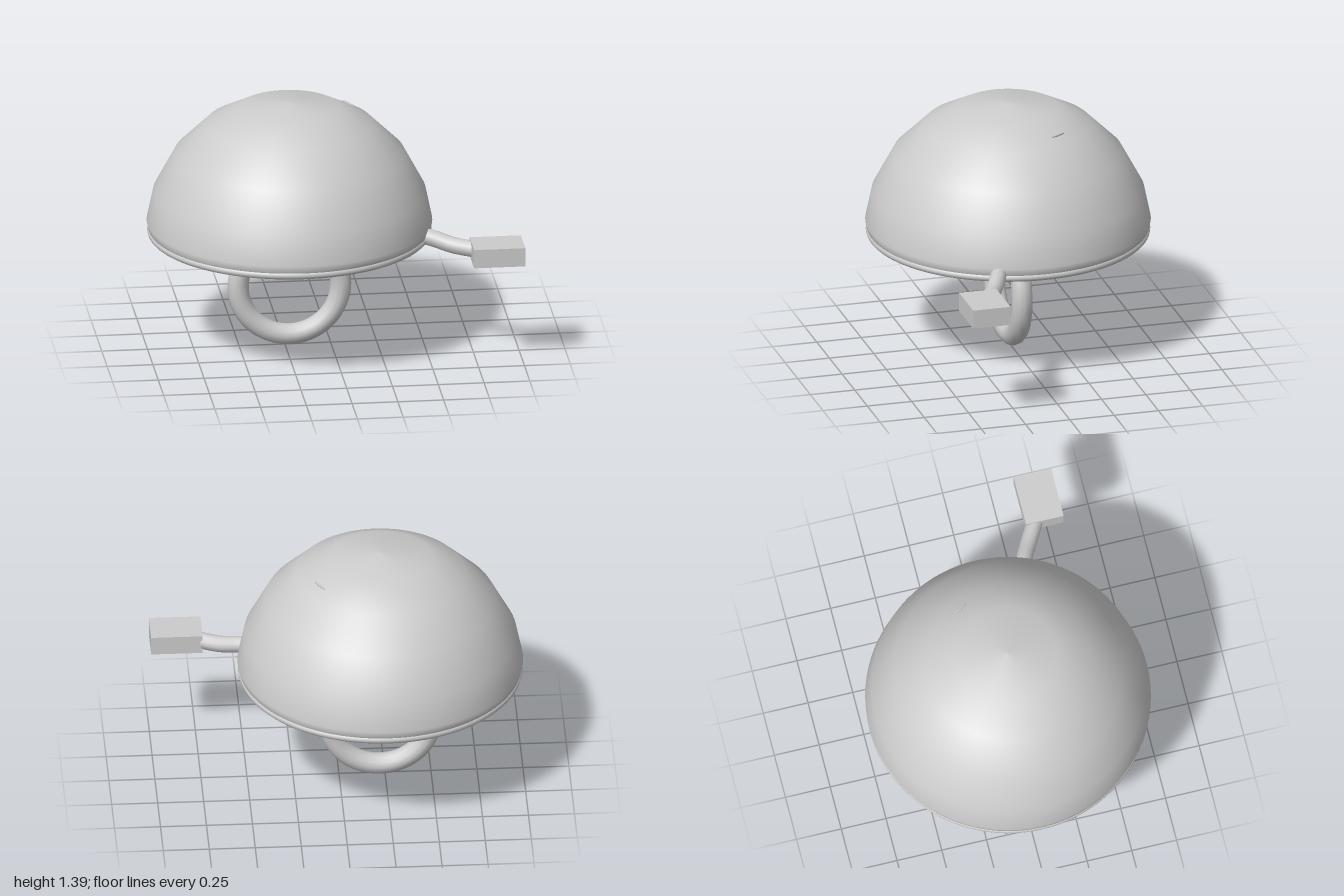
import * as THREE from 'three';

const CX = -0.225; // axis of the bell

export function createModel() {
  const model = new THREE.Group();
  model.name = 'bell';
  const metal = new THREE.MeshStandardMaterial({ color: 0xcccccc });
  metal.name = 'grey metal';
  const shell = new THREE.MeshStandardMaterial({ color: 0xcccccc, side: THREE.DoubleSide });
  shell.name = 'grey shell';

  const add = (name, geometry, material, x, y, z) => {
    const mesh = new THREE.Mesh(geometry, material);
    mesh.name = name;
    mesh.position.set(x, y, z);
    model.add(mesh);
    return mesh;
  };

  // Hollow dome with a coarse profile, smooth shaded
  const profile = [
    [0.755, 0.665], [0.767, 0.68], [0.775, 0.72], [0.74, 0.89],
    [0.625, 1.105], [0.457, 1.27], [0.272, 1.367], [0, 1.396],
  ].map(([r, y]) => new THREE.Vector2(r, y));
  add('dome', new THREE.LatheGeometry(profile, 96), shell, CX, 0, 0);

  // Rolled rim
  const rim = add('rim', new THREE.TorusGeometry(0.749, 0.023, 12, 96), metal, CX, 0.663, 0);
  rim.rotation.x = Math.PI / 2;

  // Mounting ring under the dome
  add('mountingRing', new THREE.TorusGeometry(0.28, 0.058, 12, 64), metal, CX, 0.34, 0);

  // Bent lever arm passing through the rim, with closed ends
  const path = new THREE.CatmullRomCurve3([
    new THREE.Vector3(0.43, 0.69, 0.235),
    new THREE.Vector3(0.52, 0.677, 0.27),
    new THREE.Vector3(0.63, 0.65, 0.325),
    new THREE.Vector3(0.78, 0.642, 0.41),
  ]);
  add('leverArm', new THREE.TubeGeometry(path, 12, 0.045, 12), metal, 0, 0, 0);
  const start = path.getPoint(0);
  const cap = add('leverArmEnd', new THREE.CircleGeometry(0.045, 12), metal, start.x, start.y, start.z);
  cap.lookAt(start.clone().sub(path.getTangent(0)));

  // Thumb block at the end of the lever
  add('thumbBlock', new THREE.BoxGeometry(0.28, 0.105, 0.21), metal, 0.86, 0.642, 0.44);

  // Tip of the inner striker just breaking the dome surface
  const tip = add('strikerTip', new THREE.SphereGeometry(1, 12, 8), metal, 0.115, 1.309, -0.185);
  tip.scale.set(0.006, 0.008, 0.05);
  tip.rotation.y = Math.PI + 0.5;

  return model;
}
